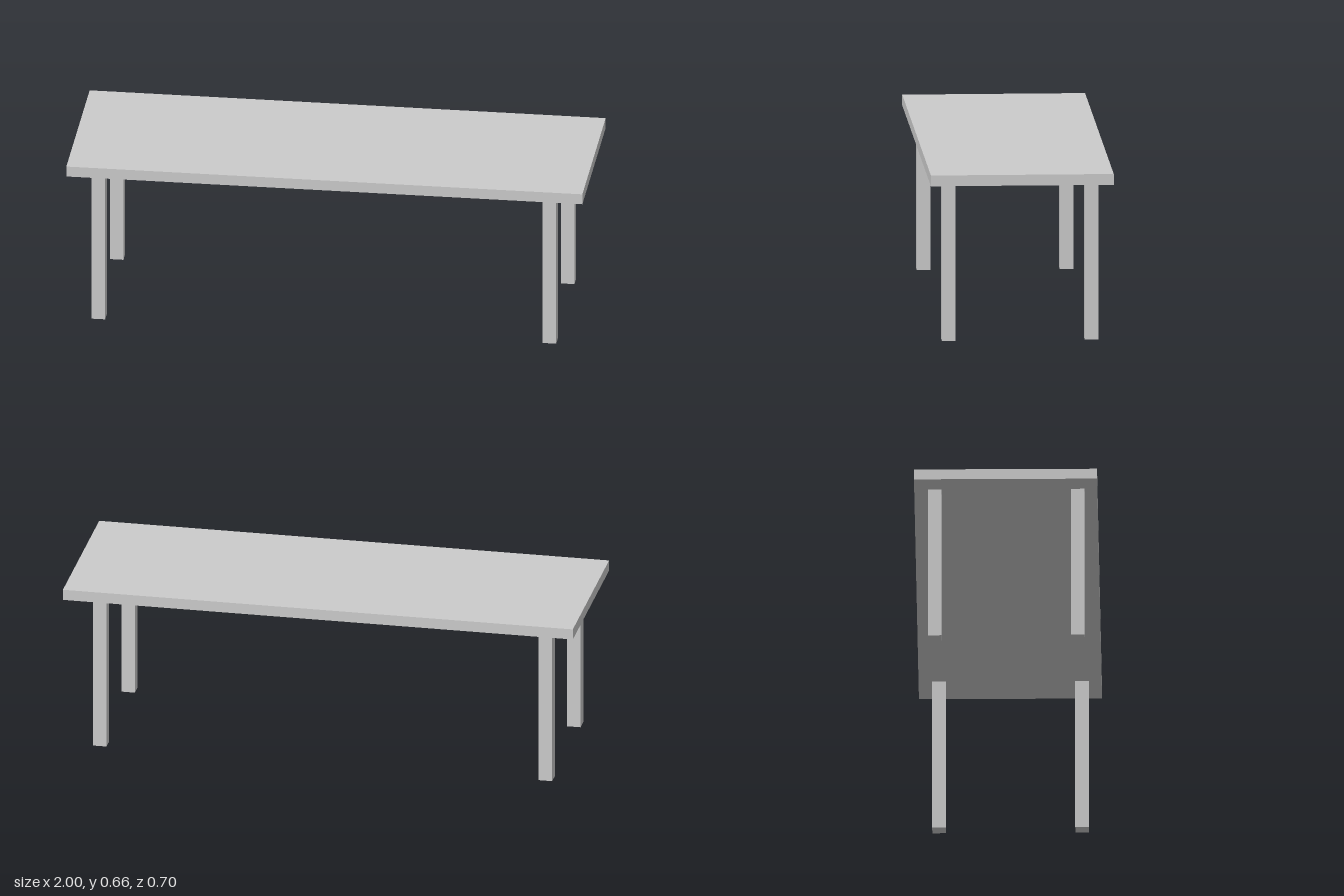
import * as THREE from 'three';

export function createModel() {
  const model = new THREE.Group();
  model.name = 'table';
  const material = new THREE.MeshStandardMaterial({ color: 0xcccccc, flatShading: true });

  const legHeight = 0.619, legWidth = 0.053, topThickness = 0.042;

  function addBox(name, w, h, d, x, bottom, z) {
    const mesh = new THREE.Mesh(new THREE.BoxGeometry(w, h, d), material);
    mesh.name = name;
    mesh.position.set(x, bottom + h / 2, z);
    model.add(mesh);
  }

  // Table top slab
  addBox('tableTop', 2, topThickness, 0.704, 0, legHeight, 0);

  // Four square legs, set very slightly off centre
  for (const [side, x] of [['Left', 0.866], ['Right', -0.882]]) {
    for (const [end, z] of [['front', 0.277], ['back', -0.273]]) {
      addBox(`${end}${side}Leg`, legWidth, legHeight, legWidth, x, 0, z);
    }
  }
  return model;
}
